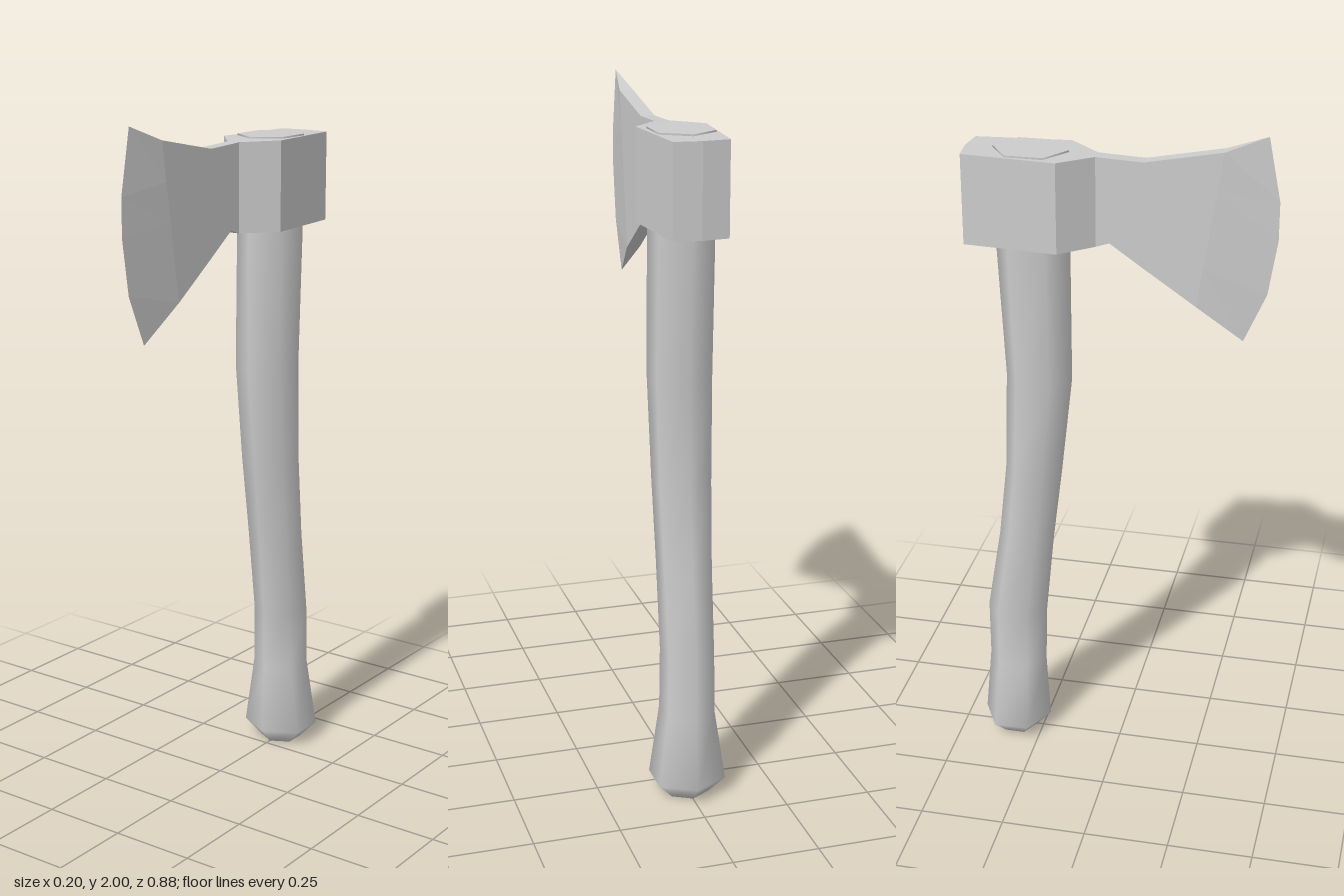
import * as THREE from 'three';

const grey = (flat) => new THREE.MeshStandardMaterial({ color: 0xcccccc, flatShading: flat });

function geometryFrom(positions, index) {
  const g = new THREE.BufferGeometry();
  g.setAttribute('position', new THREE.Float32BufferAttribute(positions, 3));
  if (index) g.setIndex(index);
  g.computeVertexNormals();
  return g;
}

// Curved six-sided handle, smooth along its length: [y, front z, back z, half width]
function makeHandle() {
  const rings = [
    [0, -0.27, -0.39, 0.055],
    [0.05, -0.225, -0.435, 0.1],
    [0.26, -0.235, -0.415, 0.07],
    [0.44, -0.23, -0.415, 0.067],
    [0.7, -0.204, -0.372, 0.07],
    [0.94, -0.174, -0.345, 0.075],
    [1.24, -0.14, -0.335, 0.08],
    [1.62, -0.14, -0.353, 0.08],
    [1.925, -0.14, -0.355, 0.08],
  ];
  const ringPoints = ([y, front, back, half]) => Array.from({ length: 6 }, (_, k) => {
    const a = k * Math.PI / 3;
    return [half * Math.sin(a) / Math.sin(Math.PI / 3), y,
      (front + back) / 2 + (front - back) / 2 * Math.cos(a)];
  });
  const pos = rings.flatMap(ringPoints).flat();
  const index = [];
  for (let i = 0; i < rings.length - 1; i++) {
    for (let k = 0; k < 6; k++) {
      const a = i * 6 + k, b = i * 6 + (k + 1) % 6;
      index.push(a, b, b + 6, a, b + 6, a + 6);
    }
  }
  // Rounded butt shares its vertices; the top end has a crisp rim
  const top = pos.length / 3;
  pos.push(...ringPoints(rings[rings.length - 1]).flat());
  for (let k = 1; k < 5; k++) {
    index.push(0, k + 1, k);
    index.push(top, top + k, top + k + 1);
  }
  const mesh = new THREE.Mesh(geometryFrom(pos, index), grey(false));
  mesh.name = 'handle';
  return mesh;
}

// Head lofted from poll to cutting edge, mirrored across x = 0
function makeHead() {
  const ROWS = 4;
  // [top z, top y, bottom z, bottom y, half width]
  const stations = [
    [-0.433, 1.92, -0.433, 1.66, 0],
    [-0.425, 1.92, -0.425, 1.66, 0.078],
    [-0.155, 1.92, -0.155, 1.66, 0.1],
    [-0.063, 1.918, -0.063, 1.66, 0.02],
    [-0.025, 1.916, -0.025, 1.673, 0.02],
    [0.07, 1.912, 0.07, 1.607, 0.02],
    [0.29, 1.955, 0.22, 1.505, 0.02],
  ].map(([zt, yt, zb, yb, w]) => ({
    w,
    rows: Array.from({ length: ROWS + 1 }, (_, r) => [
      THREE.MathUtils.lerp(zt, zb, r / ROWS), THREE.MathUtils.lerp(yt, yb, r / ROWS)]),
  }));
  // Curved cutting edge
  stations.push({ w: 0, rows: [[0.405, 2], [0.44, 1.82], [0.44, 1.71], [0.415, 1.55], [0.352, 1.405]] });

  const pos = [];
  const corner = (i, r, side) => {
    const [z, y] = stations[i].rows[r];
    return new THREE.Vector3(side * stations[i].w, y, z);
  };
  const tri = (a, b, c) => {
    const area = b.clone().sub(a).cross(c.clone().sub(a)).length();
    if (area > 1e-9) for (const p of [a, b, c]) pos.push(p.x, p.y, p.z);
  };
  const quad = (a, b, c, d) => { tri(a, b, c); tri(a, c, d); };

  for (let i = 0; i < stations.length - 1; i++) {
    const j = i + 1;
    for (let r = 0; r < ROWS; r++) {
      quad(corner(j, r, 1), corner(j, r + 1, 1), corner(i, r + 1, 1), corner(i, r, 1));
      quad(corner(i, r, -1), corner(i, r + 1, -1), corner(j, r + 1, -1), corner(j, r, -1));
    }
    quad(corner(i, 0, -1), corner(j, 0, -1), corner(j, 0, 1), corner(i, 0, 1));
    quad(corner(i, ROWS, 1), corner(j, ROWS, 1), corner(j, ROWS, -1), corner(i, ROWS, -1));
  }
  const mesh = new THREE.Mesh(geometryFrom(pos), grey(true));
  mesh.name = 'axeHead';
  return mesh;
}

export function createModel() {
  const axe = new THREE.Group();
  axe.name = 'axe';
  axe.add(makeHandle(), makeHead());
  return axe;
}
